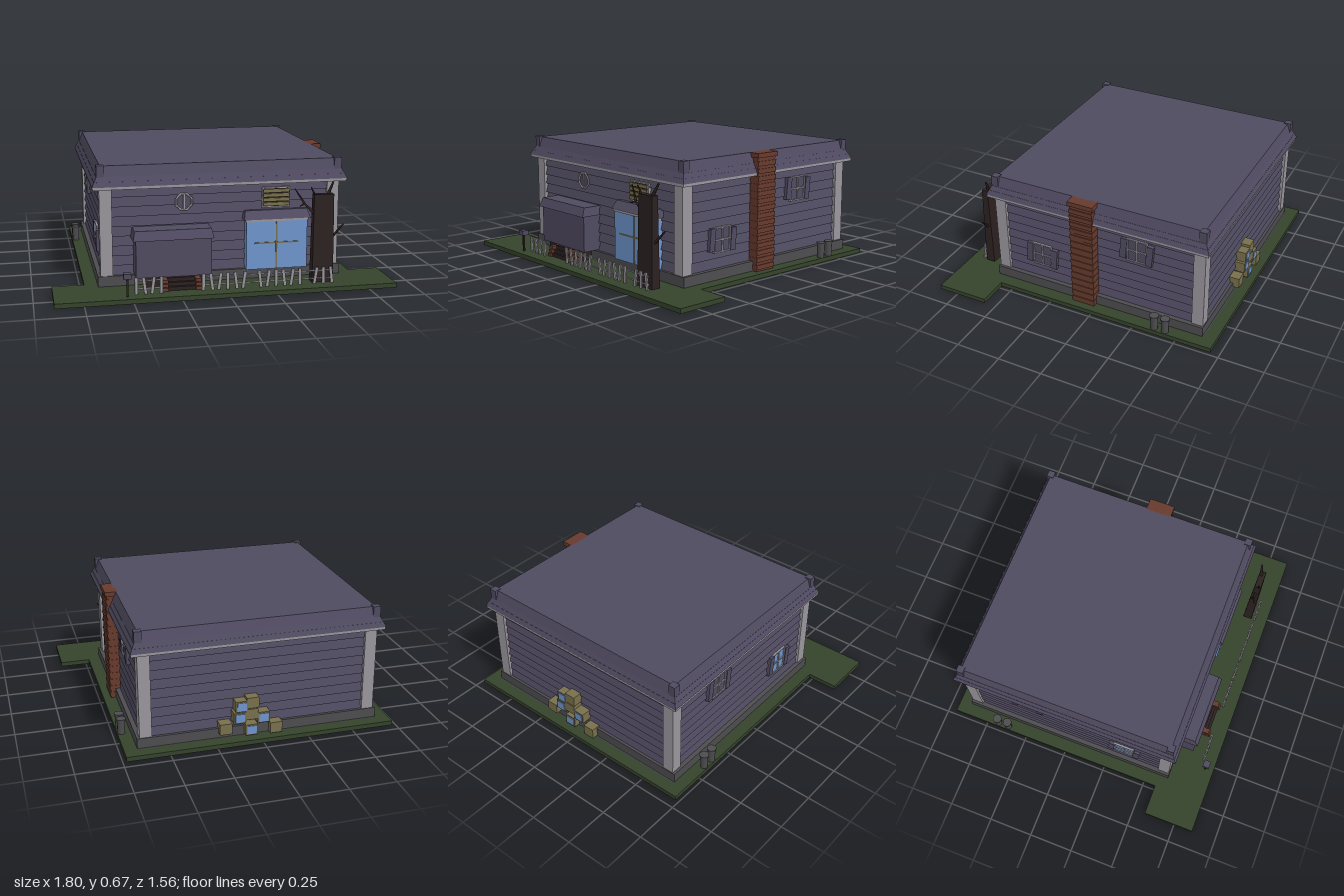
import * as THREE from 'three';

const mat = (name, color) => Object.assign(new THREE.MeshStandardMaterial({ color }), { name });

export function createModel() {
  const M = {
    purple: mat('dusky purple', 0x504b61),
    trim: mat('pale trim', 0x9a979d),
    stone: mat('foundation grey', 0x4d4d50),
    grass: mat('dark grass', 0x35432b),
    brick: mat('brick red', 0x673a2d),
    glass: mat('window blue', 0x6f95cf),
    wood: mat('old wood', 0x79704c),
    bark: mat('dead bark', 0x2c2121),
  };
  const root = new THREE.Group();
  root.name = 'house';

  const add = (name, geo, m, x, y, z, parent = root) => {
    const mesh = new THREE.Mesh(geo, m);
    mesh.name = name;
    mesh.position.set(x, y, z);
    parent.add(mesh);
    return mesh;
  };
  // box given by its limits on each axis
  const box = (name, m, x0, x1, y0, y1, z0, z1, parent = root) =>
    add(name, new THREE.BoxGeometry(x1 - x0, y1 - y0, z1 - z0), m,
      (x0 + x1) / 2, (y0 + y1) / 2, (z0 + z1) / 2, parent);
  // block whose top is drawn inwards by (ix, iz) on each side
  const taper = (name, m, x0, x1, y0, y1, z0, z1, ix, iz, parent = root) => {
    const mesh = box(name, m, x0, x1, y0, y1, z0, z1, parent);
    const p = mesh.geometry.attributes.position;
    for (let i = 0; i < p.count; i++) {
      if (p.getY(i) < 0) continue;
      p.setX(i, p.getX(i) - Math.sign(p.getX(i)) * ix);
      p.setZ(i, p.getZ(i) - Math.sign(p.getZ(i)) * iz);
    }
    mesh.geometry.computeVertexNormals();
    return mesh;
  };
  const group = (name, x = 0, y = 0, z = 0, ry = 0) => {
    const g = new THREE.Group();
    g.name = name;
    g.position.set(x, y, z);
    g.rotation.y = ry;
    root.add(g);
    return g;
  };
  // tapering limb between two points
  const limb = (name, m, a, b, r0, r1, parent) => {
    const A = new THREE.Vector3(...a), B = new THREE.Vector3(...b), d = B.clone().sub(A);
    const mid = A.clone().add(B).multiplyScalar(0.5);
    const mesh = add(name, new THREE.CylinderGeometry(r1, r0, d.length(), 5), m, mid.x, mid.y, mid.z, parent);
    mesh.quaternion.setFromUnitVectors(new THREE.Vector3(0, 1, 0), d.normalize());
    return mesh;
  };

  // Lawn: wide front strip and a rim around the house
  box('frontLawn', M.grass, -0.9, 0.9, 0, 0.025, 0.57, 0.86);
  box('backLawn', M.grass, -0.73, 0.73, 0, 0.025, -0.7, -0.63);
  for (const s of [-1, 1])
    box('sideLawn', M.grass, s < 0 ? -0.73 : 0.66, s < 0 ? -0.66 : 0.73, 0, 0.025, -0.63, 0.57);

  // Foundation, floor and lapped siding
  box('floor', M.purple, -0.66, 0.66, 0.008, 0.025, -0.63, 0.57);
  box('foundation', M.stone, -0.66, 0.66, 0.025, 0.08, -0.625, 0.625);
  const rows = 9, step = 0.47 / rows;
  for (let i = 0; i < rows; i++)
    taper('sidingRow', M.purple, -0.635, 0.635, 0.08 + i * step, 0.08 + (i + 1) * step, -0.61, 0.61, 0.014, 0.014);

  // Corner posts, eave trim and stepped roof
  for (const sx of [-1, 1]) for (const sz of [-1, 1]) {
    add('cornerPost', new THREE.BoxGeometry(0.065, 0.47, 0.065), M.trim, sx * 0.613, 0.315, sz * 0.588);
    add('roofCornerCap', new THREE.BoxGeometry(0.04, 0.085, 0.04), M.purple, sx * 0.637, 0.627, sz * 0.605);
  }
  box('eaveTrim', M.trim, -0.68, 0.68, 0.545, 0.56, -0.647, 0.647);
  taper('lowerRoof', M.purple, -0.683, 0.683, 0.56, 0.585, -0.65, 0.65, 0.012, 0.012);
  taper('middleRoof', M.purple, -0.67, 0.67, 0.585, 0.61, -0.637, 0.637, 0.012, 0.012);
  taper('upperRoof', M.purple, -0.657, 0.657, 0.61, 0.665, -0.625, 0.625, 0.02, 0.02);

  // Chimney with projecting courses and cap
  box('chimney', M.brick, 0.63, 0.687, 0.025, 0.645, 0, 0.13);
  for (let i = 0; i < 15; i++)
    box('brickCourse', M.brick, 0.632, 0.692, 0.035 + i * 0.04, 0.06 + i * 0.04, -0.002, 0.132);
  box('chimneyCap', M.brick, 0.627, 0.697, 0.64, 0.665, -0.01, 0.138);

  // Side windows with crooked shutters
  const sideWindow = (side, y, z, pane) => {
    const g = group('sideWindow', side * 0.632, y, z, side * Math.PI / 2);
    box('pane', pane, -0.055, 0.055, -0.065, 0.065, -0.01, 0.006, g);
    for (const s of [-1, 1]) {
      add('frameUpright', new THREE.BoxGeometry(0.007, 0.136, 0.016), M.trim, s * 0.055, 0, 0.004, g);
      add('frameRail', new THREE.BoxGeometry(0.117, 0.007, 0.016), M.trim, 0, s * 0.065, 0.004, g);
      add('shutter', new THREE.BoxGeometry(0.036, 0.122, 0.022), M.purple, s * 0.075, -s * 0.006, 0.006, g).rotation.z = -0.09;
    }
    box('mullion', M.trim, -0.004, 0.004, -0.063, 0.063, 0, 0.012, g);
    box('crossbar', M.trim, -0.053, 0.053, -0.004, 0.004, 0, 0.012, g);
  };
  for (const s of [-1, 1]) {
    sideWindow(s, 0.23, 0.34, s < 0 ? M.glass : M.purple);
    sideWindow(s, 0.43, -0.235, M.purple);
  }

  // Enclosed porch with hipped roof and brick-edged steps
  box('porch', M.purple, -0.47, -0.07, 0.085, 0.29, 0.58, 0.71);
  taper('porchRoof', M.purple, -0.485, -0.06, 0.285, 0.335, 0.58, 0.725, 0.01, 0.02);
  box('porchBase', M.bark, -0.42, -0.12, 0.025, 0.085, 0.6, 0.7);
  for (let i = 0; i < 3; i++)
    box('step', M.bark, -0.31, -0.165, 0.025, 0.085 - i * 0.02, 0.69, 0.73 + i * 0.015);
  for (const x of [-0.34, -0.165])
    for (let i = 0; i < 3; i++)
      box('stepBrick', M.brick, x, x + 0.03, 0.025 + i * 0.02, 0.042 + i * 0.02, 0.7, 0.77 - i * 0.006);

  // Large shop window under a small canopy
  box('bigPane', M.glass, 0.13, 0.465, 0.08, 0.345, 0.59, 0.65);
  box('bigMullion', M.wood, 0.291, 0.299, 0.085, 0.34, 0.648, 0.654);
  box('bigCrossbar', M.wood, 0.175, 0.42, 0.221, 0.228, 0.648, 0.654);
  box('bigWindowTrim', M.trim, 0.125, 0.47, 0.342, 0.355, 0.59, 0.655);
  taper('bigWindowRoof', M.purple, 0.115, 0.48, 0.355, 0.4, 0.57, 0.66, 0.012, 0.03);

  // Boarded upper window
  box('boardedFrame', M.trim, 0.222, 0.375, 0.41, 0.52, 0.59, 0.615);
  box('boardedPane', M.bark, 0.23, 0.367, 0.417, 0.513, 0.61, 0.618);
  for (let i = 0; i < 4; i++)
    box('board', M.wood, 0.227, 0.37, 0.42 + i * 0.024, 0.438 + i * 0.024, 0.612, 0.625);

  // Eight-sided window
  const octagon = group('octagonWindow', -0.2, 0.46, 0.607);
  const ring = add('octagonFrame', new THREE.TorusGeometry(0.045, 0.006, 4, 8), M.trim, 0, 0, 0.004, octagon);
  ring.rotation.z = Math.PI / 8;
  add('octagonPane', new THREE.CircleGeometry(0.045, 8, Math.PI / 8), M.purple, 0, 0, 0.003, octagon);
  box('octagonBar', M.trim, -0.004, 0.004, -0.04, 0.04, 0, 0.008, octagon);

  // Dead tree
  const tree = group('deadTree');
  taper('trunk', M.bark, 0.462, 0.578, 0.025, 0.5, 0.713, 0.765, 0.004, 0.008, tree);
  const limbs = [
    [[0.49, 0.38, 0.74], [0.42, 0.45, 0.735], 0.012], [[0.42, 0.45, 0.735], [0.37, 0.53, 0.72], 0.007],
    [[0.42, 0.45, 0.735], [0.39, 0.44, 0.75], 0.006], [[0.53, 0.46, 0.74], [0.58, 0.56, 0.72], 0.013],
    [[0.56, 0.25, 0.74], [0.64, 0.33, 0.73], 0.009], [[0.48, 0.48, 0.74], [0.45, 0.54, 0.75], 0.008],
  ];
  for (const [a, b, r] of limbs) limb('branch', M.bark, a, b, r, r * 0.4, tree);

  // Leaning picket fence in two runs
  const fence = group('fence');
  for (const [x0, x1, n] of [[-0.48, -0.35, 4], [-0.13, 0.56, 17]]) {
    for (let i = 0; i < n; i++) {
      if (n > 4 && (i === 6 || i === 13)) continue;
      const x = x0 + (x1 - x0) * i / (n - 1);
      add('picket', new THREE.BoxGeometry(0.016, 0.09, 0.008), M.trim, x, 0.07, 0.786, fence).rotation.z = 0.16 * Math.sin(i * 2.1);
    }
    for (const y of [0.05, 0.092])
      box('fenceRail', M.trim, x0 - 0.01, x1 + 0.01, y, y + 0.007, 0.777, 0.783, fence);
  }

  // Mailbox
  box('mailboxPost', M.bark, -0.533, -0.523, 0.025, 0.122, 0.805, 0.815);
  box('mailbox', M.purple, -0.548, -0.508, 0.12, 0.147, 0.79, 0.828);

  // Pairs of bins on both sides
  for (const s of [-1, 1]) for (const z of [-0.37, -0.433]) {
    add('bin', new THREE.CylinderGeometry(0.022, 0.02, 0.08, 10), M.stone, s * 0.708, 0.065, z);
    add('binLid', new THREE.CylinderGeometry(0.026, 0.026, 0.008, 10), M.stone, s * 0.708, 0.107, z);
  }

  // Stack of glazed crates against the back wall
  const crates = [[-0.08, 0.06, 0], [0.055, 0.065, 1], [0.195, 0.085, 0], [-0.01, 0.13, 1],
    [0.12, 0.14, 1], [0.055, 0.155, 0], [0.05, 0.22, 0], [0.11, 0.205, 1]];
  for (const [x, y, glazed] of crates) {
    box('crate', M.wood, x - 0.033, x + 0.033, y - 0.03, y + 0.03, -0.66, -0.6);
    if (glazed) box('cratePane', M.glass, x - 0.025, x + 0.025, y - 0.023, y + 0.023, -0.664, -0.658);
  }
  return root;
}
